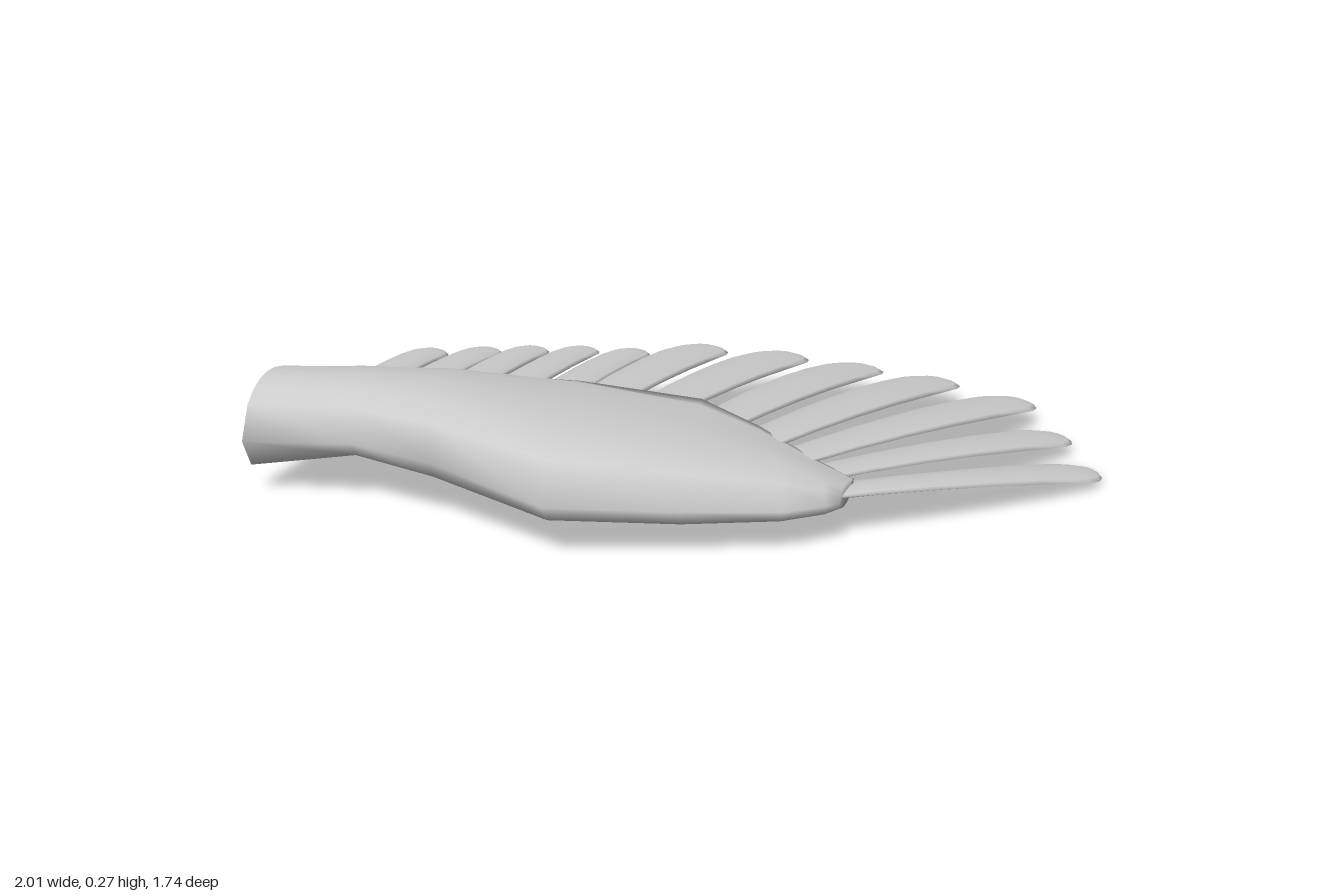
import * as THREE from 'three';

const lerp = THREE.MathUtils.lerp;
const material = new THREE.MeshStandardMaterial({ color: 0xcccccc, side: THREE.DoubleSide });

// Skin a list of closed rings (arrays of Vector3); the chosen ends close on a centre point.
function loft(name, rings, capStart, capEnd) {
  const n = rings[0].length;
  const collapse = (ring) => {
    const c = ring.reduce((sum, p) => sum.add(p), new THREE.Vector3()).divideScalar(n);
    return ring.map(() => c.clone());
  };
  const all = [...rings];
  if (capStart) all.unshift(collapse(rings[0]));
  if (capEnd) all.push(collapse(rings[rings.length - 1]));
  const index = [];
  for (let s = 0; s < all.length - 1; s++) {
    for (let i = 0; i < n; i++) {
      const j = (i + 1) % n;
      const a = s * n + i, b = s * n + j, c = a + n, d = b + n;
      index.push(a, c, b, b, c, d);
    }
  }
  const geometry = new THREE.BufferGeometry().setFromPoints(all.flat());
  geometry.setIndex(index);
  geometry.computeVertexNormals();
  const mesh = new THREE.Mesh(geometry, material);
  mesh.name = name;
  return mesh;
}

// Arm sections: front edge x, y, z, back edge x, y, z, top height, bottom height
const SECTIONS = [
  [-0.88, 0.14, 0.745, -1.0, 0.19, 0.32, 0.27, 0.068],
  [-0.6, 0.15, 0.69, -0.85, 0.2, 0.24, 0.27, 0.095],
  [-0.36, 0.145, 0.74, -0.65, 0.2, 0.14, 0.265, 0.075],
  [0.0, 0.12, 0.868, -0.3, 0.2, 0.09, 0.25, 0.045],
  [0.27, 0.11, 0.75, 0.05, 0.192, 0.11, 0.21, 0.042],
  [0.47, 0.1, 0.63, 0.24, 0.165, 0.2, 0.175, 0.05],
  [0.535, 0.095, 0.54, 0.43, 0.13, 0.31, 0.14, 0.06],
  [0.55, 0.09, 0.49, 0.54, 0.11, 0.36, 0.12, 0.07],
];

function armRing([fx, fy, fz, bx, by, bz, top, bottom], station) {
  const steps = 9, ring = [];
  for (let k = 0; k < steps * 2; k++) {
    const over = k <= steps;
    const u = over ? k / steps : 2 - k / steps;
    const base = lerp(fy, by, u);
    // both skins are fullest towards the front edge, the underside more so
    const arch = Math.max(0, Math.sin(Math.PI * Math.pow(u, over ? 0.9 : 0.65)));
    let y = lerp(base, over ? top : bottom, Math.pow(arch, 0.6));
    // stepped hollow under the shoulder end
    if (station === 0 && !over) y = u > 0.3 ? 0.145 : lerp(base, bottom, Math.min(1, u * 9));
    ring.push(new THREE.Vector3(lerp(fx, bx, u), y, lerp(fz, bz, u)));
  }
  return ring;
}

// A thin domed blade that droops towards a rounded tip, bowed outwards along its length
function feather(name, { root, tip, width, rootShare, bow }) {
  const a = new THREE.Vector3(...root), b = new THREE.Vector3(...tip);
  const dir = b.clone().sub(a).setY(0).normalize();
  const up = new THREE.Vector3(0, 1, 0).applyAxisAngle(dir, -0.06);
  const side = up.clone().cross(dir);
  const roundFrom = 1 - 0.5 * width / a.distanceTo(b);
  const stops = [0, 0.2, 0.4, 0.6, 0.8, 1].map((t) => t * roundFrom)
    .concat([0.4, 0.7, 0.9, 0.985].map((t) => lerp(roundFrom, 1, t)));
  const rings = stops.map((t) => {
    const past = Math.max(0, (t - roundFrom) / (1 - roundFrom));
    const w = lerp(rootShare, 1, Math.min(1, t / 0.8)) * Math.sqrt(1 - past * past);
    const centre = a.clone().lerp(b, t).addScaledVector(side, -bow * Math.sin(Math.PI * t));
    centre.y = lerp(a.y, b.y, 0.1 * t + 0.9 * t * t);
    return Array.from({ length: 12 }, (_, i) => {
      const angle = (i / 12) * Math.PI * 2;
      const across = -Math.cos(angle) * w;
      return centre.clone()
        .addScaledVector(side, across * width / 2)
        .addScaledVector(up, Math.sin(angle) * (0.4 + 0.6 * w) * 0.011 - across * across * width * 0.06);
    });
  });
  return loft(name, rings, true, true);
}

// Root and tip of each feather, from the shoulder outwards
const SHORT = [
  [[-0.81, 0.19, 0.36], [-0.935, 0.165, -0.205]],
  [[-0.7, 0.188, 0.31], [-0.81, 0.16, -0.3]],
  [[-0.58, 0.186, 0.27], [-0.705, 0.155, -0.385]],
  [[-0.46, 0.184, 0.24], [-0.58, 0.15, -0.46]],
  [[-0.33, 0.182, 0.22], [-0.44, 0.145, -0.51]],
];
// ... with the full width and the share of it at the root
const LONG = [
  [[-0.19, 0.19, 0.25], [-0.285, 0.14, -0.665], 0.22, 0.68],
  [[-0.04, 0.18, 0.25], [-0.085, 0.112, -0.785], 0.25, 0.62],
  [[0.13, 0.168, 0.29], [0.125, 0.08, -0.855], 0.25, 0.55],
  [[0.26, 0.152, 0.33], [0.36, 0.058, -0.87], 0.25, 0.55],
  [[0.36, 0.134, 0.37], [0.62, 0.042, -0.785], 0.25, 0.5],
  [[0.42, 0.115, 0.42], [0.8, 0.022, -0.525], 0.23, 0.5],
  [[0.46, 0.098, 0.48], [0.955, 0.012, -0.26], 0.21, 0.55],
];

export function createModel() {
  const model = new THREE.Group();
  model.name = 'wing';

  // Arm with a closed outer tip, and a flat shoulder end
  const rings = SECTIONS.map(armRing);
  model.add(loft('arm', rings, false, true));
  const centre = new THREE.Vector3(-0.925, 0.165, 0.59);
  model.add(loft('shoulderEnd', [rings[0].map(() => centre), rings[0]], false, false));

  // Two fans of feathers along the back edge
  const shortFeathers = new THREE.Group();
  shortFeathers.name = 'shortFeathers';
  SHORT.forEach(([root, tip], i) => shortFeathers.add(
    feather(`shortFeather${i + 1}`, { root, tip, width: 0.15, rootShare: 0.9, bow: 0 })));
  const longFeathers = new THREE.Group();
  longFeathers.name = 'longFeathers';
  LONG.forEach(([root, tip, width, rootShare], i) => longFeathers.add(
    feather(`longFeather${i + 1}`, { root, tip, width, rootShare, bow: 0.005 * i })));
  model.add(shortFeathers, longFeathers);
  return model;
}
